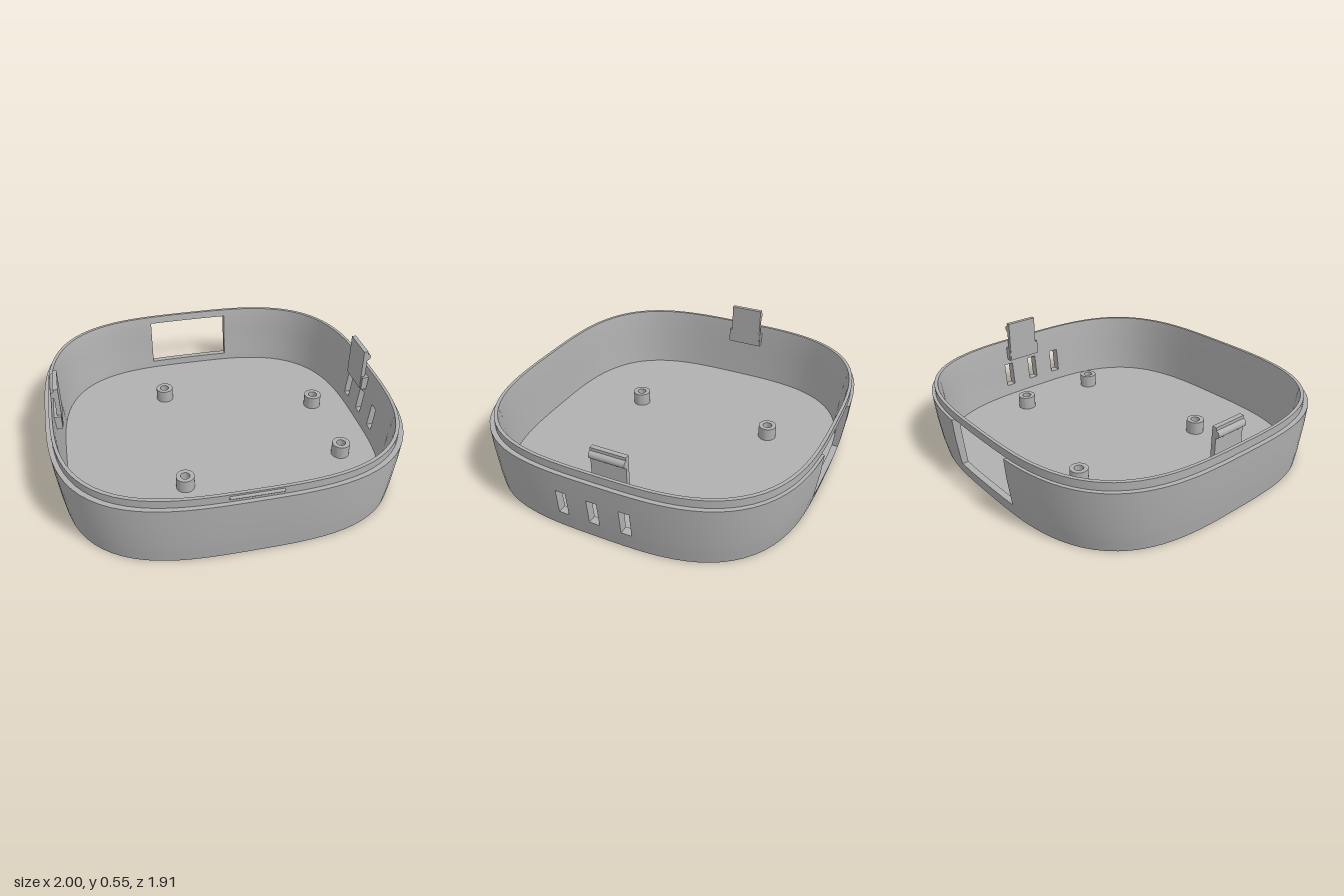
import * as THREE from 'three';
import { toCreasedNormals } from 'three/addons/utils/BufferGeometryUtils.js';

const N_EXP = 3.2; // roundness of the outline
const grey = new THREE.MeshStandardMaterial({ color: 0xb0b0b0 });
grey.name = 'grey plastic';

// Shell section, from the centre of the underside, over the rim, to the centre of the floor:
// [half width, half depth, depth offset, height]
const ROWS = [
  [0, 0, 0.013, 0], [0.96, 0.921, 0.013, 0], [0.972, 0.934, 0.009, 0.08], [0.975, 0.937, 0.008, 0.10],
  [0.991, 0.951, 0.003, 0.25], [1.0, 0.957, 0, 0.37], [0.975, 0.937, -0.004, 0.37], [0.975, 0.937, -0.004, 0.415],
  [0.957, 0.919, -0.004, 0.415], [0.95, 0.912, -0.002, 0.37], [0.94, 0.905, 0, 0.25], [0.925, 0.893, 0.002, 0.10],
  [0.923, 0.891, 0.003, 0.08], [0.918, 0.888, 0.003, 0.035], [0, 0, 0.003, 0.035],
];
const innerRow = (r) => (r >= 6 ? 9 : 14 - r);
const other = (t) => Math.pow(1 - Math.pow(Math.abs(t), N_EXP), 1 / N_EXP);

function mesh(geometry, name, x = 0, y = 0, z = 0) {
  const m = new THREE.Mesh(geometry, grey);
  m.name = name;
  m.position.set(x, y, z);
  return m;
}

// Columns round the outline: plain angles, plus exact ones at the edges of the openings
function makeColumns() {
  const special = [];
  for (const x of [-0.26, 0.26]) special.push({ x, angle: Math.atan2(-other(x), x) });
  for (const c of [-0.17, 0.015, 0.2])
    for (const z of [c - 0.03, c + 0.03]) special.push({ z, angle: Math.atan2(z / 0.957, other(z / 0.957)) });
  const columns = [...special];
  const count = 112;
  for (let i = 0; i < count; i++) {
    const angle = -Math.PI + (i * 2 * Math.PI) / count;
    if (special.every((s) => Math.abs(s.angle - angle) > 0.035)) columns.push({ angle });
  }
  return columns.sort((p, q) => p.angle - q.angle);
}

function pointAt(col, [a, b, cz, y]) {
  if (a === 0) return new THREE.Vector3(0, y, cz);
  if (col.x !== undefined) return new THREE.Vector3(col.x, y, cz - b * other(col.x / a));
  if (col.z !== undefined) return new THREE.Vector3(a * other((col.z - cz) / b), y, col.z);
  const c = Math.cos(col.angle), s = Math.sin(col.angle);
  const r = Math.pow(Math.abs(c) ** N_EXP + Math.abs(s) ** N_EXP, -1 / N_EXP);
  return new THREE.Vector3(a * r * c, y, cz + b * r * s);
}

function shellGeometry() {
  const cols = makeColumns();
  const n = cols.length;
  const P = cols.map((c) => ROWS.map((row) => pointAt(c, row)));
  const pos = [];
  const tri = (a, b, c) => {
    if (a.distanceTo(b) < 1e-6 || b.distanceTo(c) < 1e-6 || a.distanceTo(c) < 1e-6) return;
    for (const v of [a, b, c]) pos.push(v.x, v.y, v.z);
  };
  const quad = (a, b, c, d) => { tri(a, b, c); tri(a, c, d); };

  // Openings: the back window and three side slots
  const find = (key, value) => cols.findIndex((c) => c[key] !== undefined && Math.abs(c[key] - value) < 1e-6);
  const holes = [{ i0: find('x', -0.26), i1: find('x', 0.26), r0: 2, r1: 6 }];
  for (const c of [-0.17, 0.015, 0.2]) holes.push({ i0: find('z', c - 0.03), i1: find('z', c + 0.03), r0: 3, r1: 4 });
  const isOpen = (i, r) => holes.some((h) => i >= h.i0 && i < h.i1 &&
    ((r >= h.r0 && r < h.r1) || (r >= innerRow(h.r1) && r < innerRow(h.r0))));

  // Skin
  for (let i = 0; i < n; i++) {
    const A = P[i], B = P[(i + 1) % n];
    for (let r = 0; r < ROWS.length - 1; r++)
      if (!isOpen(i, r)) quad(A[r], A[r + 1], B[r + 1], B[r]);
  }
  // Cut faces through the wall
  for (const { i0, i1, r0, r1 } of holes) {
    const q0 = innerRow(r0), q1 = innerRow(r1);
    for (let i = i0; i < i1; i++) {
      const A = P[i], B = P[i + 1];
      quad(A[r0], A[q0], B[q0], B[r0]);
      quad(B[r1], B[q1], A[q1], A[r1]);
    }
    for (let r = r0; r < Math.min(r1, 5); r++) {
      const q = innerRow(r), s = innerRow(r + 1);
      quad(P[i0][r], P[i0][r + 1], P[i0][s], P[i0][q]);
      quad(P[i1][q], P[i1][s], P[i1][r + 1], P[i1][r]);
    }
  }
  const g = new THREE.BufferGeometry();
  g.setAttribute('position', new THREE.Float32BufferAttribute(pos, 3));
  return toCreasedNormals(g, 0.5);
}

// Snap clip: upright tab, latch bead on its outer face and a block joining it to the wall
function makeClip(side) {
  const clip = new THREE.Group();
  clip.name = side > 0 ? 'leftClip' : 'rightClip';
  clip.add(mesh(new THREE.BoxGeometry(0.026, 0.26, 0.2), 'clipTab', side * 0.92, 0.415, -0.065));
  const bead = new THREE.CylinderGeometry(0.022, 0.022, 0.2, 20).rotateX(Math.PI / 2);
  clip.add(mesh(bead, 'clipBead', side * 0.931, 0.506, -0.065));
  clip.add(mesh(new THREE.BoxGeometry(0.046, 0.085, 0.225), 'clipBlock', side * 0.933, 0.3275, -0.06));
  return clip;
}

export function createModel() {
  const model = new THREE.Group();
  model.name = 'enclosureBase';
  model.add(mesh(shellGeometry(), 'shell'));

  // Hollow screw posts on the floor
  const section = [[0.053, 0.034], [0.053, 0.115], [0.027, 0.115], [0.027, 0.037], [0, 0.037]];
  const post = toCreasedNormals(
    new THREE.LatheGeometry(section.map(([x, y]) => new THREE.Vector2(x, y)), 32), 0.6);
  for (const [x, z] of [[-0.245, -0.48], [0.695, -0.195], [0.695, 0.325], [-0.27, 0.415]])
    model.add(mesh(post, 'screwPost', x, 0, z));

  for (const side of [-1, 1]) model.add(makeClip(side));

  // Catch ridge on the front of the lip
  const ridge = new THREE.CylinderGeometry(0.01, 0.01, 0.28, 16).rotateZ(Math.PI / 2);
  model.add(mesh(ridge, 'frontCatch', 0, 0.395, 0.932));
  return model;
}
